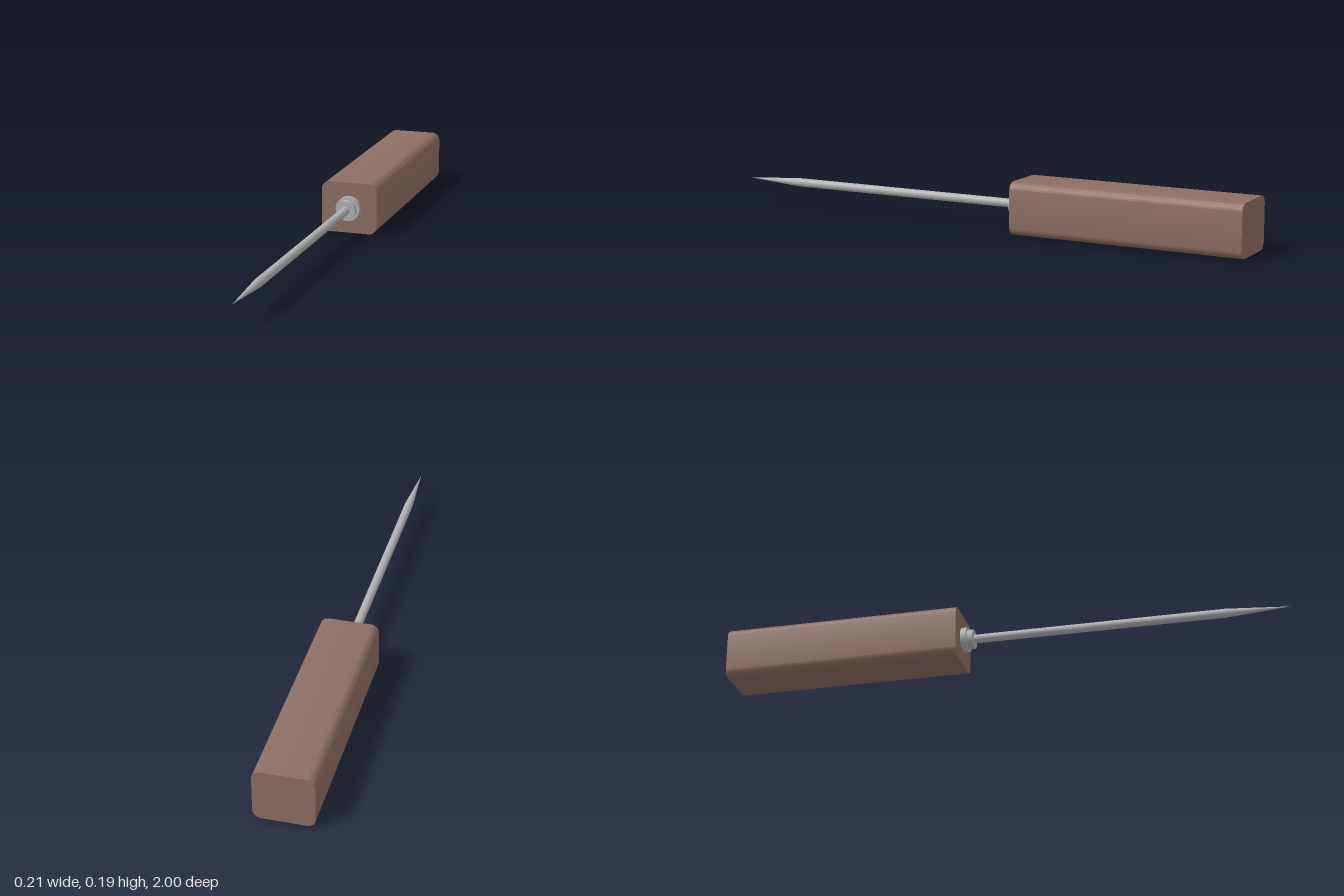
import * as THREE from 'three';
import { toCreasedNormals } from 'three/addons/utils/BufferGeometryUtils.js';

const AXIS_Y = 0.093;

export function createModel() {
  const model = new THREE.Group();
  const wood = new THREE.MeshStandardMaterial({ color: 0x8d6e63 });
  wood.name = 'brown wood';
  const steel = new THREE.MeshStandardMaterial({ color: 0xb0b0b0 });
  steel.name = 'grey steel';

  function add(name, geometry, material) {
    const mesh = new THREE.Mesh(geometry, material);
    mesh.name = name;
    mesh.position.y = AXIS_Y;
    model.add(mesh);
  }

  // Round section along z, from z0 (radius r0) to z1 (radius r1)
  function rod(name, z0, z1, r0, r1, open = false) {
    const g = new THREE.CylinderGeometry(r1, r0, z1 - z0, 48, 1, open);
    g.rotateX(Math.PI / 2).translate(0, 0, (z0 + z1) / 2);
    add(name, g, steel);
  }

  // Handle: rounded rectangle with sharp flat ends
  const w = 0.103, h = 0.093, r = 0.03;
  const section = new THREE.Shape();
  section.absarc(w - r, h - r, r, 0, Math.PI / 2);
  section.absarc(-w + r, h - r, r, Math.PI / 2, Math.PI);
  section.absarc(-w + r, -h + r, r, Math.PI, Math.PI * 1.5);
  section.absarc(w - r, -h + r, r, Math.PI * 1.5, Math.PI * 2);
  section.closePath();
  const handle = new THREE.ExtrudeGeometry(section, { depth: 0.848, bevelEnabled: false, curveSegments: 10 });
  handle.translate(0, 0, -1);
  add('handle', toCreasedNormals(handle, Math.PI / 5), wood);

  // Stepped ferrule, shaft and tapered point
  rod('ferruleBase', -0.152, -0.131, 0.044, 0.044);
  rod('ferruleStep', -0.131, -0.11, 0.035, 0.035);
  rod('shaft', -0.11, 0.78, 0.0155, 0.0155, true);
  rod('point', 0.78, 1, 0.0155, 0.0003);

  return model;
}
